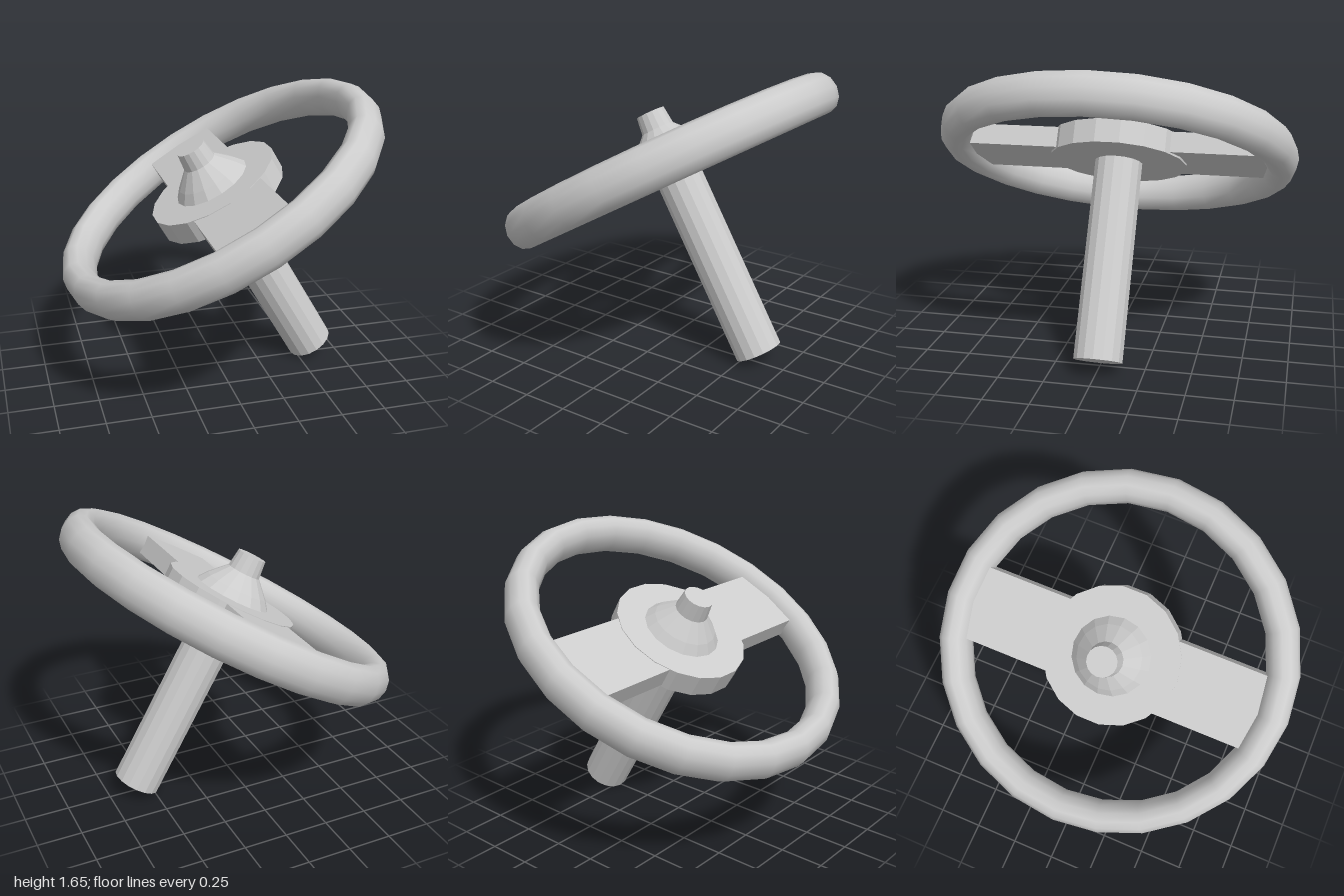
import * as THREE from 'three';

export function createModel() {
  const smooth = new THREE.MeshStandardMaterial({ color: 0xcccccc });
  const faceted = new THREE.MeshStandardMaterial({ color: 0xcccccc, flatShading: true });

  // Whole wheel tilts about z; inside it, y runs along the column axis
  const wheel = new THREE.Group();
  wheel.name = 'steeringWheel';
  wheel.rotation.z = Math.PI / 6;
  wheel.position.y = 1.085;

  const add = (name, geometry, material, y = 0, z = 0) => {
    const mesh = new THREE.Mesh(geometry, material);
    mesh.name = name;
    mesh.position.set(0, y, z);
    wheel.add(mesh);
    return mesh;
  };

  // Rim: ring with a slightly tall oval section
  const rim = new THREE.TorusGeometry(0.91, 0.09, 12, 24);
  rim.scale(1, 1, 1.29);
  rim.rotateX(Math.PI / 2);
  add('rim', rim, smooth);

  // Flat crossbar running into the rim on both sides
  add('spokeBar', new THREE.BoxGeometry(0.42, 0.115, 1.74), faceted);

  // Hub plate
  add('hubPlate', new THREE.CylinderGeometry(0.383, 0.383, 0.13, 18), faceted, -0.004, -0.008);

  // Hub cap: flared skirt rising into a short boss
  const capProfile = [[0.228, 0.05], [0.18, 0.112], [0.095, 0.2], [0.083, 0.3], [0, 0.3]]
    .map(([r, y]) => new THREE.Vector2(r, y));
  add('hubCap', new THREE.LatheGeometry(capProfile, 16), faceted, 0, -0.008);

  // Column: round shaft down to the ground
  const length = 1.15;
  add('column', new THREE.CylinderGeometry(0.134, 0.134, length, 16), faceted, -1.175 + length / 2, -0.008);

  const model = new THREE.Group();
  model.add(wheel);
  return model;
}
